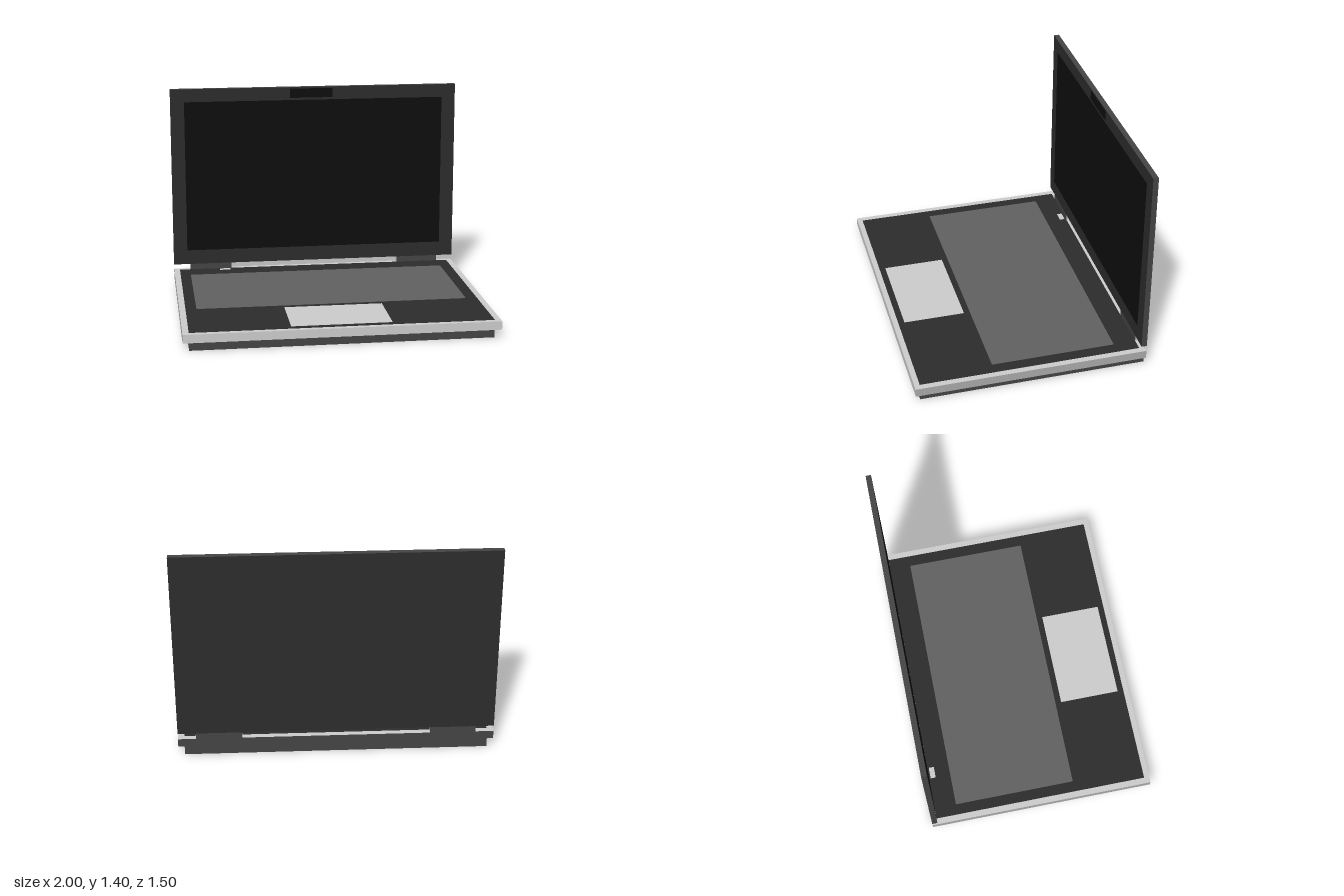
import * as THREE from 'three';

const mat = (color) => new THREE.MeshStandardMaterial({ color });

export function createModel() {
  const model = new THREE.Group();
  model.name = 'laptop';

  const silver = mat(0xcccccc);
  const silverSide = mat(0xaaaaaa);
  const edge = mat(0x444444);
  const dark = mat(0x2c2c2c);
  const keys = mat(0x606060);
  const glass = mat(0x0e0e0e);

  // Box given by its extents; material may be a list ordered +x, -x, +y, -y, +z, -z
  function box(name, [x0, x1], [y0, y1], [z0, z1], material, parent = model) {
    const mesh = new THREE.Mesh(new THREE.BoxGeometry(x1 - x0, y1 - y0, z1 - z0), material);
    mesh.position.set((x0 + x1) / 2, (y0 + y1) / 2, (z0 + z1) / 2);
    mesh.name = name;
    parent.add(mesh);
    return mesh;
  }

  // Lower half: inset underside, wider silver tray, inlaid panels
  const base = new THREE.Group();
  base.name = 'base';
  model.add(base);
  const top = 0.115;
  box('underside', [-0.96, 0.96], [0, 0.06], [-0.75, 0.715],
    [edge, edge, edge, dark, edge, edge], base);
  box('tray', [-1, 1], [0.06, top], [-0.75, 0.75],
    [silverSide, silverSide, silver, silver, silver, edge], base);
  box('deck', [-0.96, 0.96], [top - 0.01, top + 0.001], [-0.715, 0.715], dark, base);
  box('keyboard', [-0.89, 0.885], [top - 0.01, top + 0.002], [-0.57, 0.235], keys, base);
  box('touchpad', [-0.325, 0.315], [top - 0.01, top + 0.002], [0.275, 0.675], silver, base);
  box('powerButton', [-0.68, -0.605], [top - 0.01, top + 0.002], [-0.705, -0.67], silver, base);

  // Hinges with silver ends
  for (const side of [-1, 1]) {
    const xs = [side * 0.595, side * 0.885].sort((a, b) => a - b);
    box(side > 0 ? 'leftHinge' : 'rightHinge', xs, [top, 0.155], [-0.75, -0.715],
      [silver, silver, edge, edge, edge, edge]);
  }

  // Upright lid with screen and camera window
  const lid = new THREE.Group();
  lid.name = 'lid';
  model.add(lid);
  const face = -0.715;
  box('lidPanel', [-1, 1], [0.155, 1.4], [-0.75, face],
    [edge, edge, edge, edge, dark, dark], lid);
  box('screen', [-0.905, 0.905], [0.255, 1.31], [face - 0.01, face + 0.001], glass, lid);
  box('camera', [-0.17, 0.13], [1.325, 1.39], [face - 0.01, face + 0.001], glass, lid);

  return model;
}
